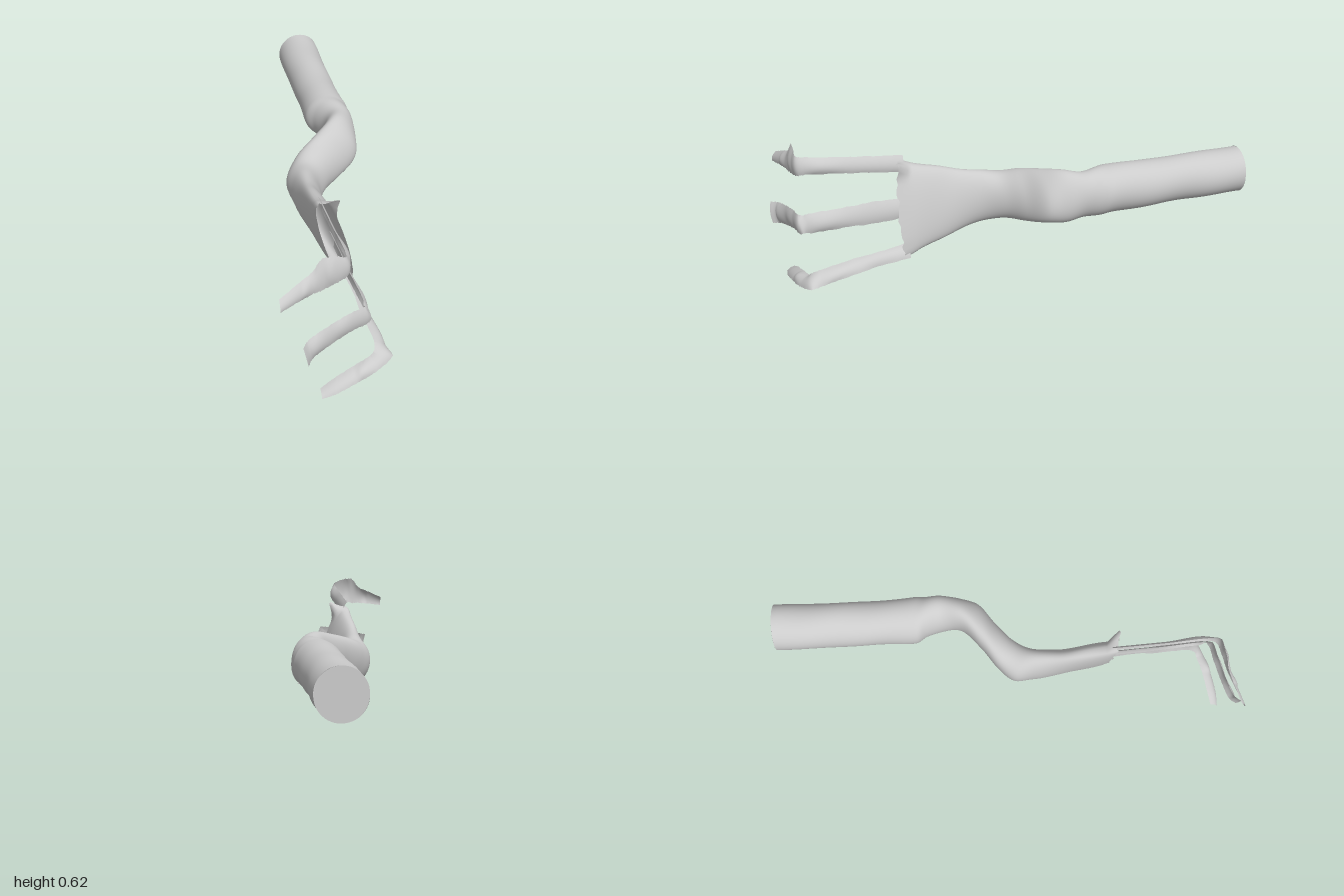
import * as THREE from 'three';

const shell = new THREE.MeshStandardMaterial({ color: 0xcccccc, side: THREE.DoubleSide });

// Skin a grid of points: rows of equal length, optionally closed around
function skin(rows, closed) {
  const n = rows[0].length, pos = [], idx = [];
  rows.forEach(r => r.forEach(p => pos.push(p.x, p.y, p.z)));
  for (let i = 0; i < rows.length - 1; i++) {
    for (let j = 0; j < (closed ? n : n - 1); j++) {
      const k = (j + 1) % n;
      const a = i * n + j, b = i * n + k, c = a + n, d = b + n;
      idx.push(a, b, c, b, d, c);
    }
  }
  const g = new THREE.BufferGeometry();
  g.setAttribute('position', new THREE.Float32BufferAttribute(pos, 3));
  g.setIndex(idx);
  g.computeVertexNormals();
  return g;
}

function part(name, geometry) {
  const m = new THREE.Mesh(geometry, shell);
  m.name = name;
  return m;
}

const spline = pts => new THREE.CatmullRomCurve3(pts);
const rag = k => Math.sin(k * 2.3) * 0.6 + Math.sin(k * 5.1) * 0.4;

// Forearm, wrist and palm: z, centre x, centre y, radius x, radius y, sideways lean
const SECTIONS = [
  [-1.0, 0.193, 0.42, 0.097, 0.1, 0],
  [-0.85, 0.192, 0.415, 0.098, 0.099, 0],
  [-0.7, 0.192, 0.412, 0.094, 0.1, 0],
  [-0.55, 0.195, 0.407, 0.095, 0.102, 0],
  [-0.4, 0.197, 0.407, 0.098, 0.107, 0],
  [-0.35, 0.21, 0.407, 0.084, 0.106, 0],
  [-0.28, 0.221, 0.407, 0.072, 0.104, 0],
  [-0.2, 0.212, 0.406, 0.074, 0.108, -0.02],
  [-0.12, 0.16, 0.392, 0.1, 0.103, -0.035],
  [-0.05, 0.075, 0.362, 0.105, 0.101, -0.025],
  [0.02, 0.012, 0.34, 0.09, 0.104, -0.01],
  [0.1, -0.008, 0.335, 0.064, 0.115, -0.01],
  [0.2, -0.006, 0.333, 0.052, 0.135, -0.022],
  [0.3, 0.006, 0.335, 0.05, 0.158, -0.036],
  [0.4, 0.02, 0.338, 0.049, 0.185, -0.048],
  [0.455, 0.028, 0.337, 0.046, 0.2, -0.054],
];

function armGeometry() {
  const centre = spline(SECTIONS.map(s => new THREE.Vector3(s[1], s[2], s[0])));
  const size = spline(SECTIONS.map(s => new THREE.Vector3(s[3], s[4], s[5])));
  const rings = 90, sides = 48, rows = [];
  for (let i = 0; i <= rings; i++) {
    const c = centre.getPoint(i / rings), s = size.getPoint(i / rings);
    const rim = Math.max(0, (i - rings + 5) / 5);
    // The palm grows flatter-sided towards its open end
    const power = 1 - 0.35 * THREE.MathUtils.smoothstep(i / rings, 0.75, 1);
    const row = [];
    for (let j = 0; j < sides; j++) {
      const a = j / sides * Math.PI * 2, ca = Math.cos(a), sa = Math.sin(a);
      const wide = Math.sign(ca) * Math.abs(ca) ** power;
      // Ragged open rim, longer on the back of the hand, with one torn corner
      const tear = rim * Math.exp(-(((a - 1.1) / 0.2) ** 2));
      const lump = 1 + 0.015 * Math.sin(i * 0.55 + 2 * a) * (1 - rim);
      row.push(new THREE.Vector3(
        c.x + s.x * wide * lump + s.z * sa + tear * 0.035,
        c.y + s.y * sa * lump + tear * 0.04,
        c.z + rim * (0.02 * ca + 0.008 * rag(j))
      ));
    }
    rows.push(row);
  }
  return skin(rows, true);
}

// Finger: shallow open channel through stations of [centre, half width, bulge]
function fingerGeometry(stations) {
  const [mid, half, bulge] = [0, 1, 2].map(k =>
    spline(stations.map(s => new THREE.Vector3(...s[k]))));
  const steps = 72, across = 8, rows = [];
  for (let i = 0; i <= steps; i++) {
    const t = i / steps, c = mid.getPoint(t), w = half.getPoint(t), d = bulge.getPoint(t);
    const row = [];
    for (let j = 0; j <= across; j++) {
      const u = j / across * 2 - 1;
      const edge = Math.abs(u) === 1 ? 1 + 0.05 * rag(i + j) : 1;
      row.push(c.clone().addScaledVector(w, u * edge).addScaledVector(d, 1 - u * u));
    }
    rows.push(row);
  }
  return skin(rows, false);
}

const FINGERS = {
  upperFinger: [
    [[-0.03, 0.522, 0.43], [-0.008, 0.036, 0], [0.01, 0, 0]],
    [[-0.028, 0.545, 0.65], [-0.008, 0.034, 0], [0.01, 0, 0]],
    [[-0.026, 0.566, 0.84], [-0.008, 0.036, 0], [0.01, 0, 0]],
    [[-0.035, 0.565, 0.87], [-0.006, 0.042, 0], [0.006, 0, 0.006]],
    [[-0.075, 0.566, 0.88], [-0.004, 0.056, -0.006], [0, 0, 0.01]],
    [[-0.13, 0.56, 0.89], [0, 0.063, -0.01], [0, 0, 0.01]],
    [[-0.165, 0.538, 0.9], [0, 0.042, -0.01], [0, 0, 0.01]],
    [[-0.22, 0.521, 0.92], [0, 0.033, -0.01], [0, 0, 0.01]],
    [[-0.295, 0.497, 0.95], [0, 0.022, -0.01], [0, 0, 0.008]],
  ],
  middleFinger: [
    [[0.02, 0.338, 0.43], [-0.009, 0.043, 0], [0.01, 0, 0]],
    [[0.031, 0.336, 0.65], [-0.009, 0.043, 0], [0.01, 0, 0]],
    [[0.045, 0.335, 0.85], [-0.009, 0.042, 0], [0.01, 0, 0]],
    [[0.043, 0.335, 0.885], [-0.009, 0.042, 0], [0.006, 0, 0.006]],
    [[-0.02, 0.325, 0.903], [-0.006, 0.044, 0], [0, 0, 0.01]],
    [[-0.11, 0.3, 0.93], [-0.008, 0.045, 0], [0, 0, 0.01]],
    [[-0.19, 0.275, 0.963], [-0.009, 0.047, 0], [0, 0, 0.01]],
    [[-0.21, 0.268, 0.99], [-0.01, 0.048, 0], [0, 0, 0.007]],
  ],
  lowerFinger: [
    [[0.082, 0.162, 0.44], [-0.024, 0.024, 0], [0.008, 0.008, 0]],
    [[0.1, 0.136, 0.65], [-0.024, 0.024, 0], [0.008, 0.008, 0]],
    [[0.12, 0.11, 0.82], [-0.026, 0.024, 0], [0.008, 0.008, 0]],
    [[0.122, 0.1, 0.865], [-0.036, 0.018, -0.005], [0.005, 0.007, 0.005]],
    [[0.075, 0.08, 0.892], [-0.008, 0.021, -0.023], [0, 0.007, 0.008]],
    [[0, 0.062, 0.915], [0, 0.022, -0.025], [0, 0.007, 0.008]],
    [[-0.08, 0.036, 0.932], [0, 0.019, -0.024], [0, 0.006, 0.007]],
    [[-0.14, 0.014, 0.94], [0, 0.011, -0.017], [0, 0.003, 0.004]],
  ],
};

export function createModel() {
  const model = new THREE.Group();
  model.name = 'armWithThreeFingers';
  model.add(part('forearmAndPalm', armGeometry()));

  // Flat cut at the back of the forearm
  const cap = part('forearmCap', new THREE.CircleGeometry(1, 48));
  const [z, x, y, rx, ry] = SECTIONS[0];
  cap.rotation.y = Math.PI;
  cap.scale.set(rx, ry, 1);
  cap.position.set(x, y, z);
  model.add(cap);

  for (const [name, stations] of Object.entries(FINGERS)) {
    model.add(part(name, fingerGeometry(stations)));
  }
  return model;
}
